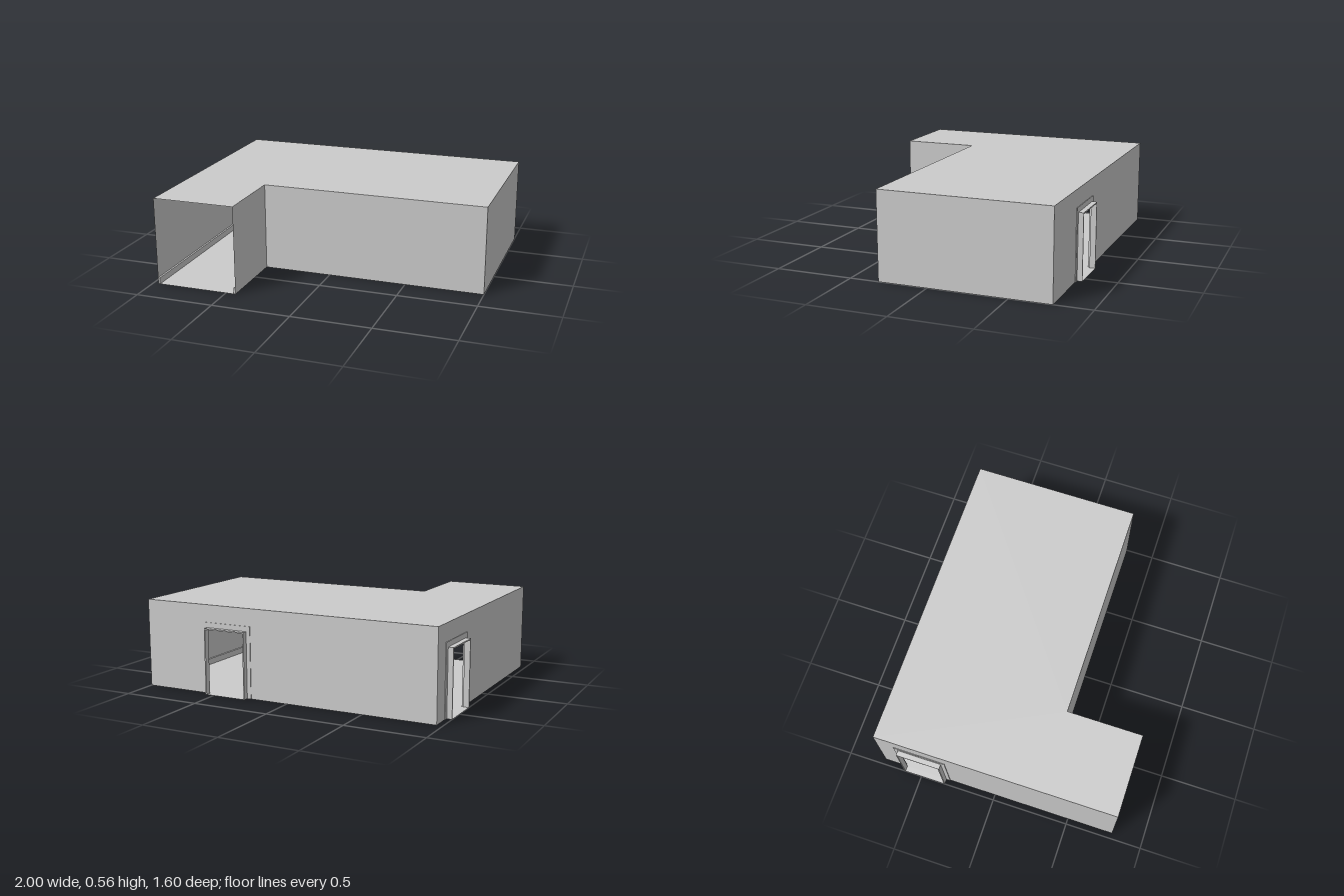
import * as THREE from 'three';

const HEIGHT = 0.56;
const DOOR = { half: 0.134, top: 0.41, jamb: 0.008, depth: 0.036, trim: 0.168, trimTop: 0.45 };
const BASE = { height: 0.04, thick: 0.012 };

// Plan of the room, walked so the interior lies on each wall's local +z side
const PLAN = [[-0.964, 0.8], [-0.964, -0.764], [1, -0.764], [1, 0.314], [-0.436, 0.314], [-0.436, 0.8]];
// Distance along each wall to its doorway centre
const DOORS = [1.278, 1.38, null, null, null];

const material = new THREE.MeshStandardMaterial({ color: 0xcccccc, side: THREE.DoubleSide });

function add(parent, name, geometry, x = 0, y = 0, z = 0) {
  const mesh = new THREE.Mesh(geometry, material);
  mesh.name = name;
  mesh.position.set(x, y, z);
  parent.add(mesh);
  return mesh;
}

// Upside-down U outline standing on the floor
function archShape(half, top, innerHalf, innerTop) {
  return new THREE.Shape([
    [-half, 0], [-half, top], [half, top], [half, 0],
    [innerHalf, 0], [innerHalf, innerTop], [-innerHalf, innerTop], [-innerHalf, 0],
  ].map(([x, y]) => new THREE.Vector2(x, y)).reverse());
}

function extrude(shape, depth) {
  return new THREE.ExtrudeGeometry(shape, { depth, bevelEnabled: false });
}

// Jamb projecting outward, thin casing astride the wall, and threshold
function makeDoorway() {
  const door = new THREE.Group();
  door.name = 'doorway';
  const { half, top, jamb, depth, trim, trimTop } = DOOR;
  add(door, 'doorJamb', extrude(archShape(half + jamb, top + jamb, half, top), depth), 0, 0, -depth);
  add(door, 'doorCasing', extrude(archShape(trim, trimTop, half + jamb, top + jamb), 0.015), 0, 0, -0.004);
  const sill = new THREE.PlaneGeometry(2 * half, depth).rotateX(-Math.PI / 2);
  add(door, 'threshold', sill, 0, 0, -depth / 2);
  return door;
}

// Sheet wall with optional doorway and a baseboard on the inside
function makeWall([ax, az], [bx, bz], door, extra) {
  const wall = new THREE.Group();
  wall.name = 'wall';
  const length = Math.hypot(bx - ax, bz - az);
  const outline = [[0, 0]];
  if (door !== null) {
    const l = door - DOOR.half, r = door + DOOR.half;
    outline.push([l, 0], [l, DOOR.top], [r, DOOR.top], [r, 0]);
  }
  outline.push([length, 0], [length, HEIGHT], [0, HEIGHT]);
  const shape = new THREE.Shape(outline.map(([x, y]) => new THREE.Vector2(x, y)));
  add(wall, 'wallPanel', new THREE.ShapeGeometry(shape));

  const end = length + extra;
  const runs = door === null ? [[0, end]] : [[0, door - DOOR.trim], [door + DOOR.trim, end]];
  for (const [from, to] of runs) {
    add(wall, 'baseboard', new THREE.BoxGeometry(to - from, BASE.height, BASE.thick),
      (from + to) / 2, BASE.height / 2, BASE.thick / 2);
  }
  if (door !== null) {
    const doorway = makeDoorway();
    doorway.position.x = door;
    wall.add(doorway);
  }
  wall.position.set(ax, 0, az);
  wall.rotation.y = -Math.atan2(bz - az, bx - ax);
  return wall;
}

export function createModel() {
  const room = new THREE.Group();
  room.name = 'room';

  // Floor and ceiling share the L-shaped plan
  const plan = new THREE.Shape(PLAN.map(([x, z]) => new THREE.Vector2(x, -z)));
  const slab = new THREE.ShapeGeometry(plan).rotateX(-Math.PI / 2);
  add(room, 'floor', slab);
  add(room, 'ceiling', slab, 0, HEIGHT, 0);

  // Walls on every side except the open end of the corridor
  DOORS.forEach((door, i) => {
    const extra = i === 3 ? BASE.thick : 0; // baseboard wraps the inner corner
    room.add(makeWall(PLAN[i], PLAN[i + 1], door, extra));
  });
  return room;
}
